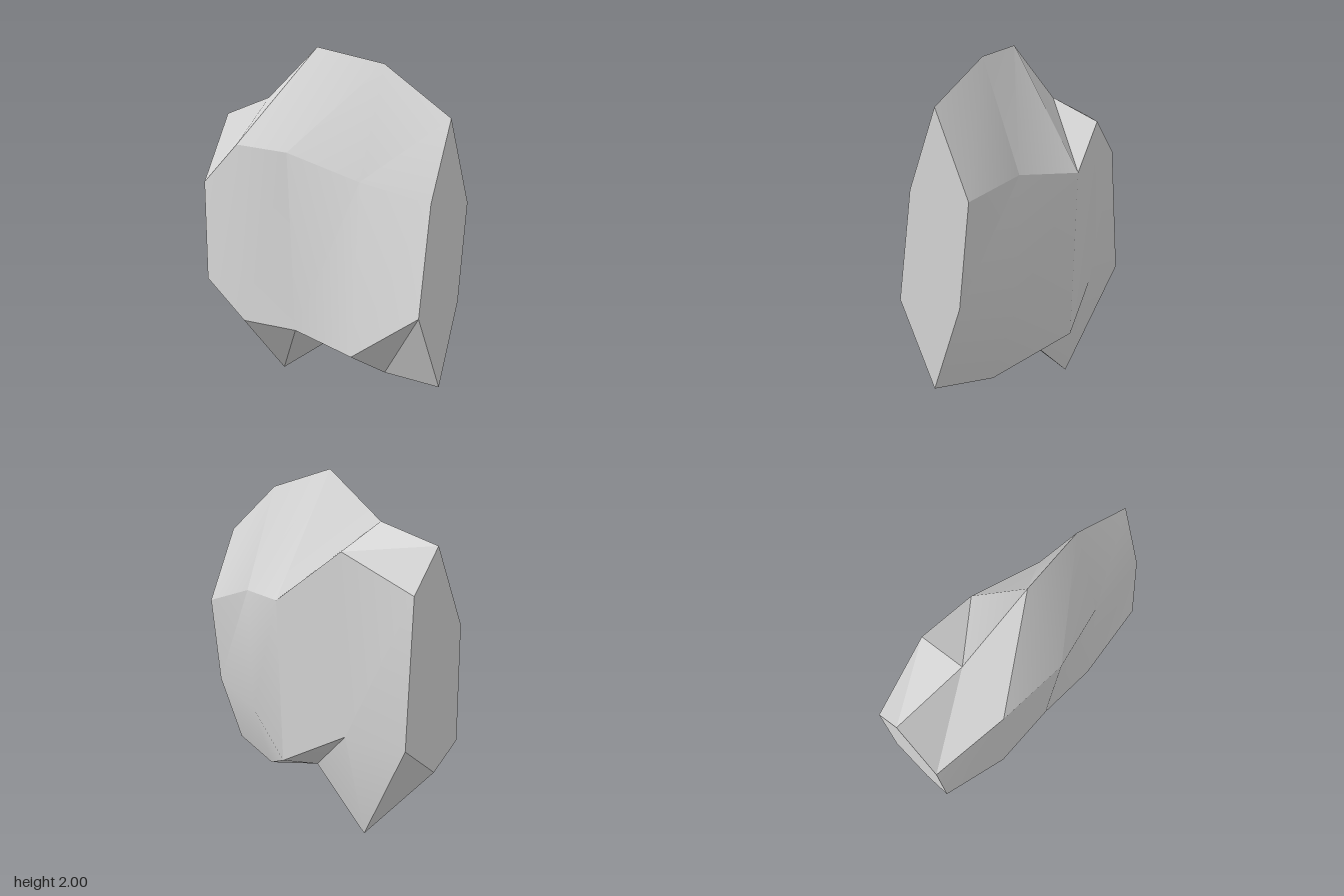
import * as THREE from 'three';
import { toCreasedNormals } from 'three/addons/utils/BufferGeometryUtils.js';

// Cross-sections along x; each ring is [y, z] pairs:
// top, front upper, front lower, bottom, back lower, back upper
const sections = [
  { x: -0.81, ring: [[1.61, 0.01], [1.2, 0.22], [0.58, 0.22], [0.45, 0.03], [0.62, -0.21], [1.38, -0.17]] },
  { x: -0.405, ring: [[1.72, 0.05], [1.465, 0.315], [0.41, 0.29], [0, -0.05], [0.6, -0.21], [1.575, -0.25]] },
  { x: 0, ring: [[2, 0.08], [1.45, 0.33], [0.44, 0.275], [0.295, -0.02], [0.385, -0.29], [1.3, -0.33]] },
  { x: 0.405, ring: [[1.91, 0.02], [1.32, 0.22], [0.39, 0.28], [0.2, -0.03], [0.58, -0.17], [1.31, -0.2]] },
  { x: 0.81, ring: [[1.65, 0.02], [1.25, 0.18], [0.69, 0.26], [0.26, 0.05], [0.69, -0.11], [1.21, -0.17]] },
];

export function createModel() {
  const stone = new THREE.MeshStandardMaterial({ color: 0xd6d6d6 });
  stone.name = 'stone grey';

  const sides = 6;
  const positions = sections.flatMap(({ x, ring }) => ring.flatMap(([y, z]) => [x, y, z]));
  const index = [];

  // Bands between neighbouring sections
  for (let s = 0; s < sections.length - 1; s++) {
    for (let k = 0; k < sides; k++) {
      const n = (k + 1) % sides;
      const a = s * sides + k, b = s * sides + n;
      const c = b + sides, d = a + sides;
      index.push(a, b, d, b, c, d);
    }
  }

  // Flat end caps
  const last = (sections.length - 1) * sides;
  for (let k = 1; k < sides - 1; k++) {
    index.push(0, k + 1, k);
    index.push(last, last + k, last + k + 1);
  }

  const indexed = new THREE.BufferGeometry();
  indexed.setAttribute('position', new THREE.Float32BufferAttribute(positions, 3));
  indexed.setIndex(index);

  // Gentle bends blend, strong edges stay sharp
  const rock = new THREE.Mesh(toCreasedNormals(indexed, 0.42), stone);
  rock.name = 'rock';
  const group = new THREE.Group();
  group.name = 'rockSlab';
  group.add(rock);
  return group;
}
